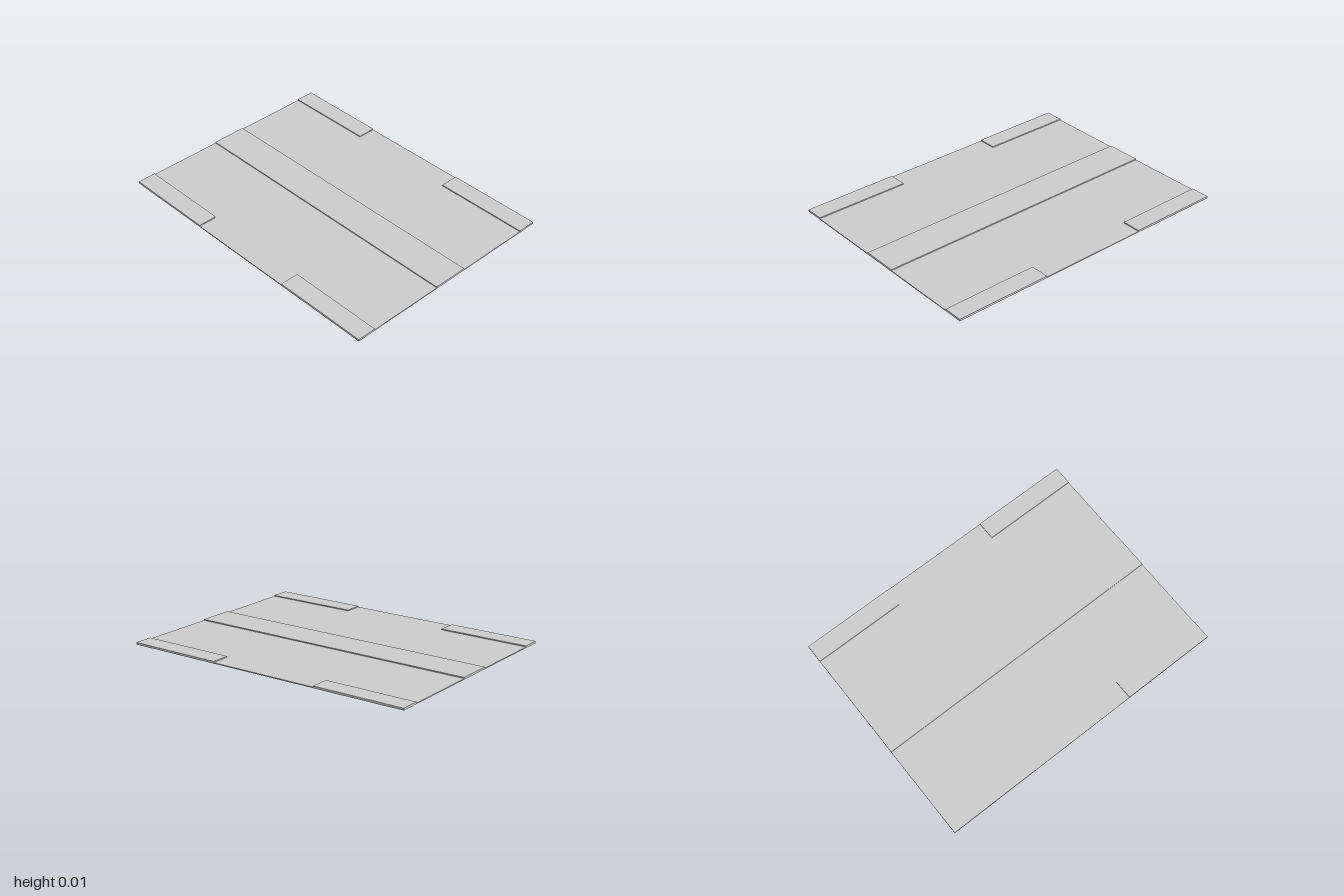
import * as THREE from 'three';

const BASE_H = 0.0065;   // thickness of the base sheet
const TOTAL_H = 0.0135;  // height to the top of the raised pads

export function createModel() {
  const group = new THREE.Group();
  const material = new THREE.MeshStandardMaterial({ color: 0xcccccc, flatShading: true });

  // Box given by its extents on each axis
  const slab = (name, x0, x1, y0, y1, z0, z1) => {
    const mesh = new THREE.Mesh(new THREE.BoxGeometry(x1 - x0, y1 - y0, z1 - z0), material);
    mesh.position.set((x0 + x1) / 2, (y0 + y1) / 2, (z0 + z1) / 2);
    mesh.name = name;
    group.add(mesh);
  };

  // Thin base sheet
  slab('baseSheet', -0.75, 0.75, 0, BASE_H, -1, 1);

  // Raised strip along the middle
  slab('centreStrip', -0.118, 0.118, BASE_H, TOTAL_H, -1, 1);

  // Raised pads at the four corners, mirrored left and right
  for (const [side, x0, x1] of [['left', 0.625, 0.75], ['right', -0.75, -0.625]]) {
    slab(`${side}FrontPad`, x0, x1, BASE_H, TOTAL_H, 0.36, 1);
    slab(`${side}BackPad`, x0, x1, BASE_H, TOTAL_H, -1, -0.385);
  }

  return group;
}
